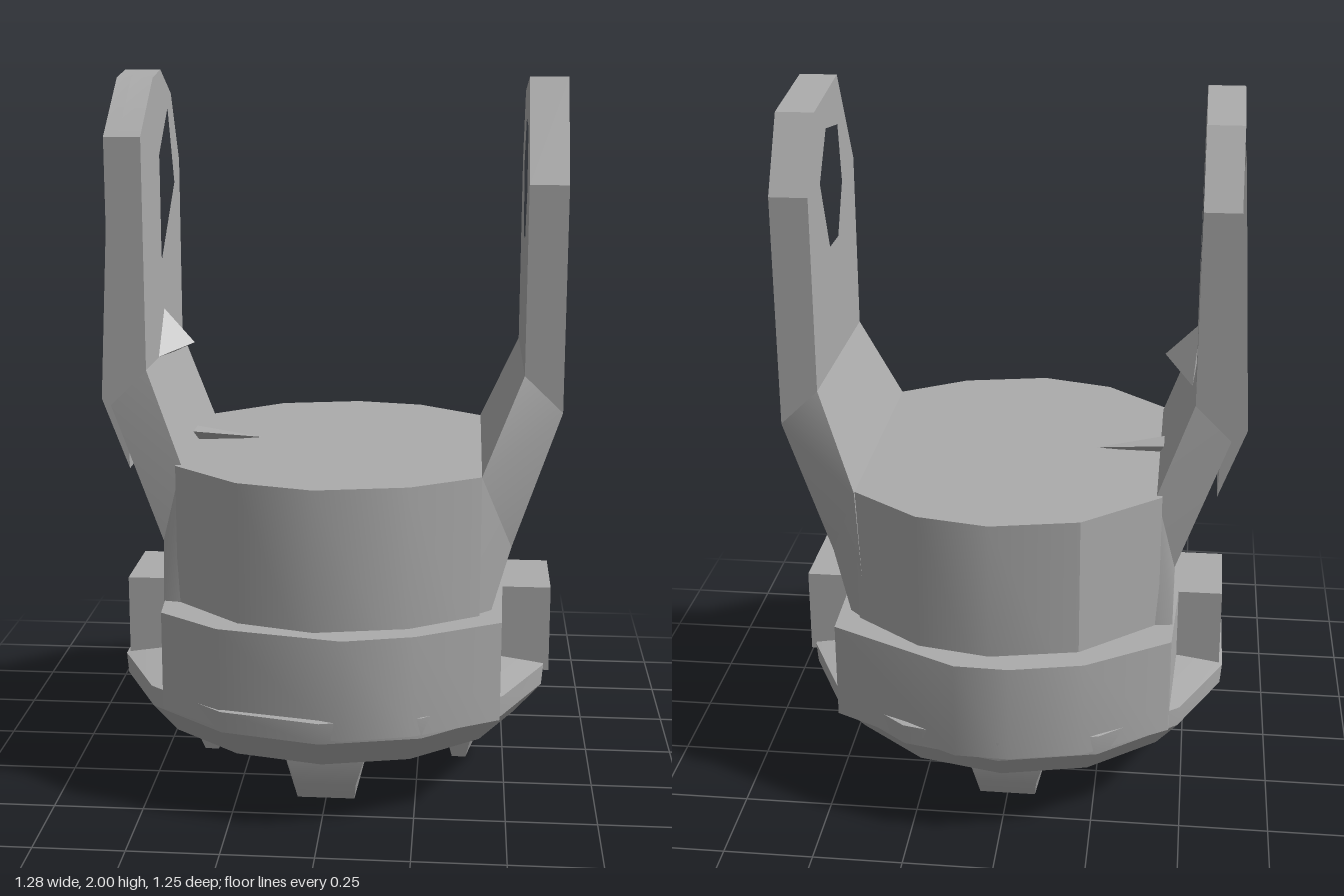
import * as THREE from 'three';
import { toCreasedNormals } from 'three/addons/utils/BufferGeometryUtils.js';
import { ConvexGeometry } from 'three/addons/geometries/ConvexGeometry.js';

export function createModel() {
  const model = new THREE.Group();
  const grey = new THREE.MeshStandardMaterial({ color: 0xacacac });
  grey.name = 'plain grey';

  const add = (name, geometry, parent = model) => {
    const mesh = new THREE.Mesh(toCreasedNormals(geometry, 0.5), grey);
    mesh.name = name;
    parent.add(mesh);
    return mesh;
  };
  const hull = (pts) => new ConvexGeometry(pts.map((p) => new THREE.Vector3(...p)));
  const toShape = (pts) => new THREE.Shape(pts.map(([a, b]) => new THREE.Vector2(-a, b)));

  // Upright prism over an outline of (x, z) points
  const prism = (pts, y0, y1) => {
    const shape = new THREE.Shape(pts.map(([x, z]) => new THREE.Vector2(x, -z)));
    return new THREE.ExtrudeGeometry(shape, { depth: y1 - y0, bevelEnabled: false })
      .rotateX(-Math.PI / 2).translate(0, y0, 0);
  };
  // Plate across x over an outline of (z, y) points, with an optional hole
  const plate = (pts, hole, x0, x1) => {
    const shape = toShape(pts);
    if (hole) shape.holes.push(toShape(hole));
    return new THREE.ExtrudeGeometry(shape, { depth: x1 - x0, bevelEnabled: false })
      .rotateY(Math.PI / 2).translate(x0, 0, 0);
  };
  // Slant the foot of a plate: its outer side reaches lower than its inner side
  const slantFoot = (geo, inner, outer) => {
    const p = geo.attributes.position;
    for (let i = 0; i < p.count; i++) {
      const t = (p.getX(i) - inner) / (outer - inner);
      if (p.getY(i) < 1.3) p.setY(i, 1.2 - 0.1 * t);
    }
    return geo;
  };
  // Arm piece between two slanted sections, each [innerX, innerY, innerZ, outerX, outerY, outerZ]
  const armPiece = (side, ...sections) => {
    const pts = [];
    for (const [xi, yi, zi, xo, yo, zo] of sections) {
      for (const m of [-1, 1]) pts.push([side * xi, yi, m * zi], [side * xo, yo, m * zo]);
    }
    return hull(pts);
  };

  // Drum with a flat top
  add('drum', prism([
    [0.42, -0.38], [0.23, -0.52], [0.03, -0.56], [-0.21, -0.51], [-0.42, -0.33],
    [-0.42, 0.33], [-0.23, 0.5], [-0.02, 0.56], [0.23, 0.51], [0.42, 0.39],
  ], 0.4, 0.94));

  // Collar with flat sides
  add('collar', prism([
    [0.48, -0.44], [0.12, -0.62], [-0.03, -0.625], [-0.23, -0.58], [-0.46, -0.43],
    [-0.48, 0], [-0.45, 0.43], [-0.28, 0.55], [0.06, 0.62], [0.25, 0.57], [0.48, 0.44], [0.49, 0],
  ], 0.27, 0.55));

  // Side lugs
  const lugs = new THREE.Group();
  lugs.name = 'lugs';
  model.add(lugs);
  for (const [x0, x1] of [[0.44, 0.625], [-0.6, -0.42]]) {
    add('lug', prism([[x0, -0.13], [x1, -0.13], [x1, 0.13], [x0, 0.13]], 0.3, 0.55), lugs);
  }

  // Rounded underside with a ring groove
  const profile = [
    [0, 0.2], [0.17, 0.2], [0.22, 0.27], [0.43, 0.27], [0.47, 0.17],
    [0.545, 0.17], [0.62, 0.26], [0.625, 0.32], [0.5, 0.34], [0, 0.34],
  ].map(([r, y]) => new THREE.Vector2(r, y));
  add('underside', new THREE.LatheGeometry(profile, 14));

  // Ribs in the groove and teeth below it
  const ribs = new THREE.Group();
  ribs.name = 'ribs';
  const teeth = new THREE.Group();
  teeth.name = 'teeth';
  model.add(ribs, teeth);
  for (let i = 0; i < 8; i++) {
    const rib = new THREE.BoxGeometry(0.09, 0.12, 0.32).translate(0, 0.235, 0.32);
    add('rib', rib.rotateY(((i + 0.5) * Math.PI) / 4), ribs);
  }
  for (let i = 0; i < 4; i++) {
    const pts = [];
    for (const m of [-1, 1]) {
      pts.push(
        [m * 0.14, 0.28, 0.28], [m * 0.14, 0.28, 0.43],
        [m * 0.12, 0.17, 0.31], [m * 0.12, 0.17, 0.43],
        [m * 0.085, 0.05, 0.41], [m * 0.08, 0, 0.35], [m * 0.08, 0, 0.39],
      );
    }
    add('tooth', hull(pts).rotateY((i * Math.PI) / 2), teeth);
  }

  // Arm with a hole through its end
  const leftArm = new THREE.Group();
  leftArm.name = 'leftArm';
  model.add(leftArm);
  const leftEnd = [
    [0.3, 1.2], [0.3, 1.71], [0.12, 1.985], [-0.18, 1.94], [-0.3, 1.74], [-0.3, 1.2],
  ];
  const eye = [[0.05, 1.54], [0.13, 1.68], [0.1, 1.85], [-0.05, 1.87], [-0.15, 1.74], [-0.06, 1.54]];
  add('armEnd', slantFoot(plate(leftEnd, eye, 0.53, 0.635), 0.53, 0.635), leftArm);
  const leftMiddle = [0.42, 0.94, 0.39, 0.505, 0.72, 0.3];
  add('armBend', armPiece(1, [0.53, 1.2, 0.3, 0.635, 1.1, 0.3], leftMiddle), leftArm);
  add('armRoot', armPiece(1, leftMiddle, [0.4, 0.54, 0.39, 0.45, 0.54, 0.34]), leftArm);

  // Arm with a pocket on its inner side
  const rightArm = new THREE.Group();
  rightArm.name = 'rightArm';
  model.add(rightArm);
  const rightEnd = [
    [0.3, 1.2], [0.3, 1.83], [0.1, 1.98], [-0.02, 2], [-0.18, 1.93], [-0.3, 1.73], [-0.3, 1.2],
  ];
  const pocket = [[-0.12, 1.89], [-0.21, 1.67], [0.02, 1.47], [0.13, 1.68]];
  add('armEndInner', slantFoot(plate(rightEnd, pocket, -0.56, -0.5), -0.5, -0.6), rightArm);
  add('armEndOuter', slantFoot(plate(rightEnd, null, -0.6, -0.56), -0.5, -0.6), rightArm);
  const rightMiddle = [0.405, 0.94, 0.32, 0.46, 0.72, 0.31];
  add('armBend', armPiece(-1, [0.5, 1.2, 0.3, 0.6, 1.1, 0.3], rightMiddle), rightArm);
  add('armRoot', armPiece(-1, rightMiddle, [0.4, 0.54, 0.34, 0.46, 0.54, 0.33]), rightArm);

  // Wedge panel on the outer side
  const panel = [];
  for (const z of [-0.22, 0.21]) {
    panel.push([-0.605, 1.85, z], [-0.645, 1.1, z], [-0.57, 0.9, z], [-0.59, 1.1, z], [-0.595, 1.8, z]);
  }
  add('outerPanel', hull(panel), rightArm);

  // Small spur and sliver on the inner side
  add('spur', hull([
    [-0.505, 1.33, 0], [-0.505, 1.2, 0.11], [-0.49, 1.18, -0.1], [-0.41, 1.23, 0.02],
  ]), rightArm);
  add('sliver', hull([
    [-0.42, 0.97, -0.04], [-0.42, 0.97, 0.04], [-0.42, 0.93, 0], [-0.22, 0.945, -0.01],
  ]), rightArm);

  return model;
}
